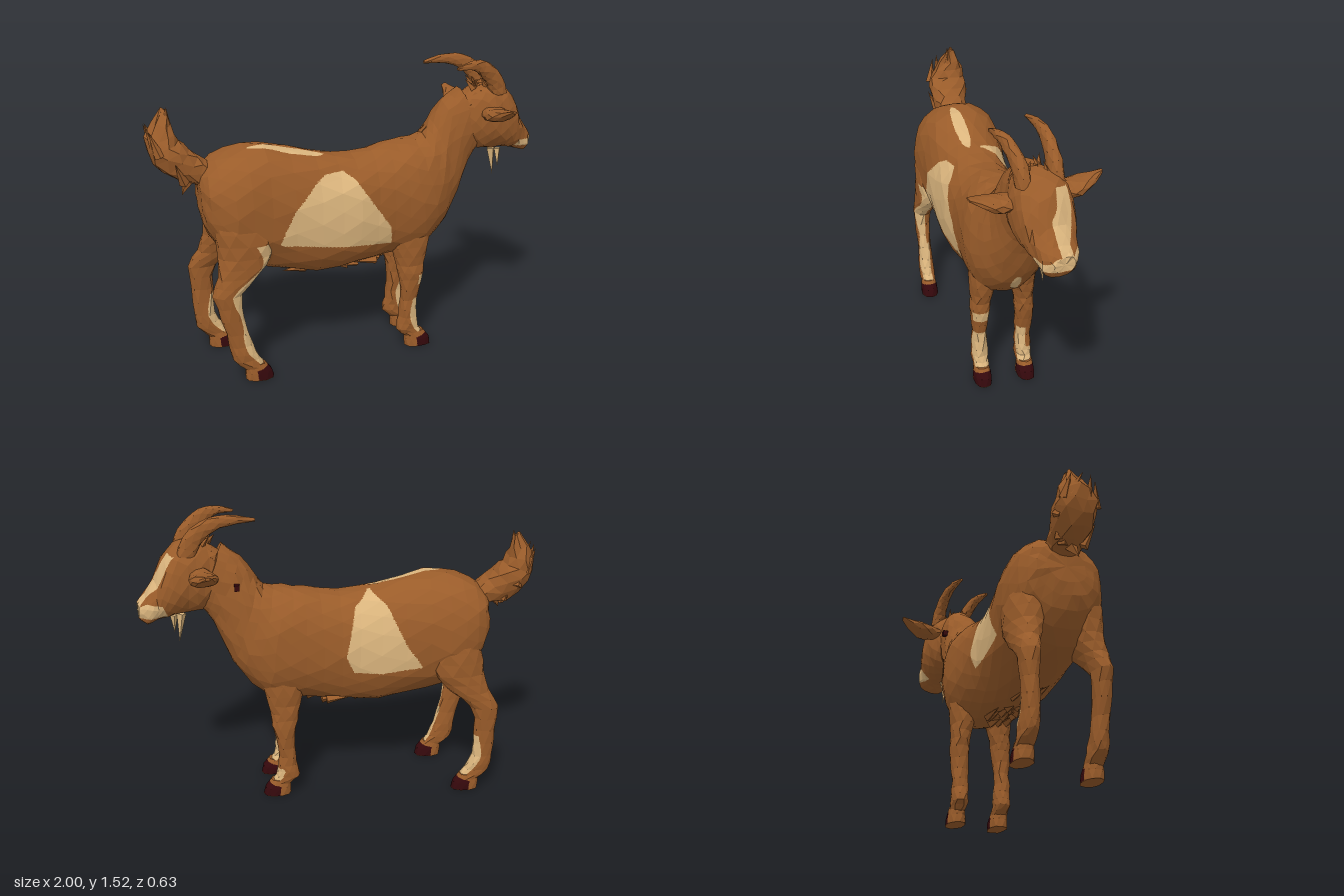
import * as THREE from 'three';
import { mergeGeometries } from 'three/addons/utils/BufferGeometryUtils.js';

const mat = (name, color) => Object.assign(new THREE.MeshStandardMaterial({ color }), { name });

// small seeded random for hair and facet irregularity
let seed = 7;
const rnd = () => ((seed = (seed * 16807) % 2147483647) / 2147483647) * 2 - 1;

// Loft through rings [x, y, z, halfUp, halfSide, tilt in degrees].
// test(p, q) picks the second colour; q holds (progress, cos, sin) around the loft.
function loft(name, rings, mats, { sides = 12, steps = 2, jitter = 0.004, test = null } = {}) {
  const centre = new THREE.CatmullRomCurve3(rings.map(r => new THREE.Vector3(r[0], r[1], r[2])), false, 'catmullrom', 0.5);
  const size = new THREE.CatmullRomCurve3(rings.map(r => new THREE.Vector3(r[3], r[4], r[5])), false, 'catmullrom', 0.5);
  const n = (rings.length - 1) * steps;
  const soft = v => Math.sign(v) * Math.abs(v) ** 0.88;
  const grid = [], mids = [];
  for (let i = 0; i <= n; i++) {
    const t = i / n, c = centre.getPoint(t), s = size.getPoint(t), k = s.z * Math.PI / 180;
    const row = [];
    for (let j = 0; j < sides; j++) {
      const a = (j + (i % 2) * 0.5) / sides * Math.PI * 2;
      const up = Math.max(s.x, 0.002) * soft(Math.cos(a)), side = Math.max(s.y, 0.002) * soft(Math.sin(a));
      row.push({
        p: new THREE.Vector3(c.x - Math.sin(k) * up + rnd() * jitter, c.y + Math.cos(k) * up + rnd() * jitter, c.z + side + rnd() * jitter),
        q: new THREE.Vector3(t, Math.cos(a), Math.sin(a))
      });
    }
    grid.push(row);
    mids.push({ p: c, q: new THREE.Vector3(t, 0, 0) });
  }
  const out = [[], []];
  const mid = (a, b) => ({ p: a.p.clone().lerp(b.p, 0.5), q: a.q.clone().lerp(b.q, 0.5) });
  const pick = v => (test && test(v.p, v.q) ? 1 : 0);
  // coplanar subdivision along colour borders
  function tri(a, b, c, depth = 0) {
    if (!test) return out[0].push(a, b, c);
    const ab = mid(a, b), bc = mid(b, c), ca = mid(c, a);
    const sum = [a, b, c, ab, bc, ca].reduce((s, v) => s + pick(v), 0);
    if (depth > 3 || (depth > 0 && sum % 6 === 0)) return out[pick(mid(ab, c))].push(a, b, c);
    tri(a, ab, ca, depth + 1); tri(ab, b, bc, depth + 1);
    tri(ca, bc, c, depth + 1); tri(ab, bc, ca, depth + 1);
  }
  for (let j = 0; j < sides; j++) {
    const k = (j + 1) % sides;
    for (let i = 0; i < n; i++) {
      const [A, B, C, D] = [grid[i][j], grid[i][k], grid[i + 1][j], grid[i + 1][k]];
      if (i % 2) { tri(A, B, D); tri(A, D, C); } else { tri(A, B, C); tri(B, D, C); }
    }
    tri(mids[0], grid[0][k], grid[0][j]);
    tri(mids[n], grid[n][j], grid[n][k]);
  }
  const geo = new THREE.BufferGeometry().setFromPoints([...out[0], ...out[1]].map(v => v.p));
  geo.computeVertexNormals();
  geo.addGroup(0, out[0].length, 0);
  geo.addGroup(out[0].length, out[1].length, 1);
  const mesh = new THREE.Mesh(geo, test ? mats : mats[0]);
  mesh.name = name;
  return mesh;
}

// Pointed lock of hair from a point along a direction
function lock(at, dir, length, width) {
  const g = new THREE.ConeGeometry(width, length, 4).toNonIndexed();
  g.translate(0, length * 0.4, 0);
  g.applyQuaternion(new THREE.Quaternion().setFromUnitVectors(new THREE.Vector3(0, 1, 0), new THREE.Vector3(...dir).normalize()));
  g.translate(...at);
  g.computeVertexNormals();
  return g;
}
function hair(name, locks, material) {
  const mesh = new THREE.Mesh(mergeGeometries(locks), material);
  mesh.name = name;
  return mesh;
}

function inside(x, y, poly) {
  let hit = false;
  poly.forEach(([ax, ay], i) => {
    const [bx, by] = poly[(i + 1) % poly.length];
    if ((ay > y) !== (by > y) && x < ax + (bx - ax) * (y - ay) / (by - ay)) hit = !hit;
  });
  return hit;
}

export function createModel() {
  const brown = mat('brownCoat', 0x9a5c2a), tan = mat('tanPatch', 0xdcb67e), dark = mat('darkHoof', 0x35080c);
  const goat = new THREE.Group();
  goat.name = 'goat';

  // Torso and neck with flank, back and chest patches
  const leftPatch = [[-0.22, 1.0], [-0.17, 1.03], [-0.08, 1.035], [-0.02, 0.99], [0.06, 0.87], [0.16, 0.73], [0.17, 0.63], [-0.1, 0.66], [-0.42, 0.71], [-0.34, 0.88]];
  const rightPatch = [[-0.41, 0.72], [-0.2, 0.69], [-0.06, 0.7], [-0.02, 0.79], [-0.07, 1.03], [-0.15, 1.1], [-0.23, 1.04], [-0.32, 0.85]];
  goat.add(loft('torsoAndNeck', [
    [-0.765, 0.94, 0.05, 0.08, 0.1, 0], [-0.73, 0.91, 0.05, 0.18, 0.185, 0], [-0.62, 0.875, 0.055, 0.275, 0.235, 0],
    [-0.45, 0.855, 0.055, 0.315, 0.225, 0], [-0.2, 0.795, 0.064, 0.31, 0.205, 0], [0, 0.79, 0.062, 0.29, 0.197, 0],
    [0.18, 0.815, 0.045, 0.295, 0.19, 0], [0.33, 0.84, 0.04, 0.285, 0.202, 10], [0.44, 0.91, 0.035, 0.24, 0.165, 15],
    [0.5, 1.01, 0.025, 0.21, 0.13, 20], [0.56, 1.13, 0.02, 0.18, 0.11, 24], [0.64, 1.21, 0.015, 0.165, 0.1, 22]
  ], [brown, tan], {
    sides: 20, steps: 2, jitter: 0.005,
    test: p => (p.z > 0.1 && inside(p.x, p.y, leftPatch)) || (p.z < 0.03 && inside(p.x, p.y, rightPatch)) ||
      (p.y > 1 && ((p.x + 0.34) / 0.19) ** 2 + ((p.z - 0.09) / 0.032) ** 2 < 1) ||
      (p.x > 0.38 && ((p.z - 0.025) / 0.025) ** 2 + ((p.y - 0.67) / 0.055) ** 2 < 1)
  }));

  // Legs: z is mirrored about the body's middle, dx sets a foot back
  const hind = [[-0.6, 0.92, 0.17, 0.11, 0.09], [-0.58, 0.8, 0.2, 0.14, 0.09], [-0.58, 0.67, 0.215, 0.135, 0.08], [-0.62, 0.57, 0.235, 0.1, 0.062],
    [-0.68, 0.48, 0.25, 0.072, 0.047], [-0.66, 0.35, 0.25, 0.055, 0.04], [-0.625, 0.2, 0.25, 0.057, 0.04], [-0.6, 0.12, 0.25, 0.068, 0.043], [-0.555, 0.065, 0.25, 0.058, 0.038]];
  const fore = [[0.3, 0.85, 0.12, 0.1, 0.07], [0.3, 0.7, 0.13, 0.11, 0.075], [0.295, 0.58, 0.14, 0.095, 0.065], [0.29, 0.48, 0.15, 0.074, 0.052],
    [0.297, 0.4, 0.155, 0.064, 0.05], [0.288, 0.28, 0.155, 0.045, 0.04], [0.285, 0.18, 0.155, 0.05, 0.042], [0.285, 0.11, 0.155, 0.062, 0.042], [0.325, 0.065, 0.155, 0.058, 0.038]];
  const shin = (p, q, top, edge) => p.y > 0.085 && p.y < top && q.y > edge + 0.2 * Math.sin(p.y * 23);
  function leg(name, rings, middle, mirror, dx, test) {
    const place = ([x, y, z, h, w]) => [x + dx * Math.min(1, Math.max(0, (0.8 - y) / 0.6)), y, mirror ? 2 * middle - z : z, h, w, -90];
    const group = new THREE.Group();
    group.name = name;
    group.add(loft('limb', rings.map(place), [brown, tan], { sides: 10, test }));
    const [x, , z] = rings[rings.length - 1];
    const hoof = [[x - 0.005, 0.09, z, 0.052, 0.037], [x + 0.012, 0.045, z, 0.068, 0.046], [x + 0.018, 0.004, z, 0.073, 0.047]];
    group.add(loft('hoof', hoof.map(place), [brown, dark], { sides: 10, steps: 1, jitter: 0.0015, test: (p, q) => q.y > -0.15 && p.y < 0.06 + 0.015 * q.y && p.y > 0.0056 }));
    goat.add(group);
  }
  leg('leftHindLeg', hind, 0.055, false, 0, (p, q) => shin(p, q, 0.73, 0.45) && q.z > -0.15 - (p.y < 0.3 ? 0.3 : 0));
  leg('rightHindLeg', hind, 0.055, true, -0.12, (p, q) => shin(p, q, 0.32, 0.4));
  leg('leftForeleg', fore, 0.04, false, 0, (p, q) => shin(p, q, 0.29, 0.25) || (q.y > 0.4 && p.y > 0.37 && p.y < 0.425));
  leg('rightForeleg', fore, 0.04, true, 0, (p, q) => shin(p, q, 0.28, 0.25) && q.z > -0.1 - (p.y < 0.16 ? 0.8 : 0));

  // Upturned bushy tail
  goat.add(loft('tail', [
    [-0.7, 1.03, 0.04, 0.06, 0.07, 170], [-0.81, 1.075, 0.04, 0.078, 0.09, 140], [-0.895, 1.155, 0.03, 0.088, 0.1, 120],
    [-0.925, 1.235, 0.02, 0.068, 0.08, 95], [-0.895, 1.36, 0.01, 0.012, 0.015, 75]
  ], [brown], { sides: 9, jitter: 0.01 }));
  const tailHair = [];
  for (let i = 0; i < 22; i++) {
    const t = i / 21;
    tailHair.push(lock([-0.83 - 0.13 * t, 1.02 + 0.18 * t, 0.03 + rnd() * 0.09], [-0.3, 0.8, rnd() * 0.4], 0.13, 0.026));
  }
  tailHair.push(lock([-0.81, 1.02, 0.05], [-0.3, -0.6, 0.2], 0.09, 0.035), lock([-0.9, 1.24, 0.03], [0.1, 1, 0], 0.15, 0.04));
  goat.add(hair('tailHair', tailHair, brown));

  // Mane lying along the neck and flat belly fringe
  const mane = [], fringe = [];
  for (let i = 0; i < 34; i++) {
    const t = i / 33, z = rnd() * 0.065;
    mane.push(lock([0.46 + 0.24 * t, 1.2 + 0.17 * t - z * z * 6, 0.02 + z], [-1, -0.78 + rnd() * 0.15, rnd() * 0.2], 0.16, 0.024));
  }
  for (let i = 0; i < 18; i++) fringe.push(lock([-0.27 + 0.025 * i, 0.51 - 0.012 * Math.sin(i / 17 * Math.PI), 0.055 + rnd() * 0.07], [-1, 0.06, rnd() * 0.25], 0.13, 0.022));
  goat.add(hair('mane', mane, brown), hair('bellyFringe', fringe, brown));

  // Head, turned a little to the right, with an off-centre blaze
  const head = new THREE.Group();
  head.name = 'head';
  head.position.set(0.7, 0, 0.018);
  head.rotation.y = 0.18;
  const blaze = [[-0.09, 1.33], [-0.03, 1.34], [-0.012, 1.26], [0.018, 1.22], [0.015, 1.06], [-0.045, 1.06], [-0.04, 1.13], [-0.075, 1.18], [-0.09, 1.25]];
  head.add(loft('skull', [
    [-0.12, 1.2, 0, 0.12, 0.08, 0], [-0.05, 1.205, 0, 0.16, 0.108, 0], [0.02, 1.21, 0, 0.18, 0.13, 0], [0.1, 1.2, 0, 0.175, 0.134, 0],
    [0.16, 1.165, 0, 0.15, 0.122, 0], [0.21, 1.105, 0, 0.1, 0.1, 0], [0.26, 1.06, 0, 0.075, 0.088, 0], [0.297, 1.06, 0, 0.035, 0.05, 0]
  ], [brown, tan], {
    sides: 14, test: p => (p.x > 0.08 && inside(p.z, p.y, blaze)) ||
      (p.y > 1.03 && p.y < 1.085 + 0.012 * Math.sin(p.z * 60) - 0.1 * p.z && p.x > (p.z > 0 ? 0.19 : 0.17) + 0.4 * (p.y - 1.05))
  }));
  for (const s of [1, -1]) {
    const side = s > 0 ? 'left' : 'right', reach = s > 0 ? 0.05 : 0;
    head.add(loft(side + 'Horn', [
      [0.06, 1.33, 0.078 * s, 0.047, 0.034, 95], [0.03, 1.4, 0.08 * s, 0.046, 0.032, 120], [-0.03, 1.458, 0.088 * s, 0.041, 0.028, 145],
      [-0.1 + reach * 0.4, 1.487, 0.096 * s, 0.032, 0.024, 168], [-0.19 + reach, 1.495, 0.103 * s, 0.02, 0.018, 180], [-0.275 + reach * 1.3, 1.487, 0.105 * s, 0.007, 0.008, 186]
    ], [brown], { sides: 8, jitter: 0.002 }));
    const ear = loft(side + 'Ear', [
      [-0.03, 0, 0, 0.025, 0.04, 0], [0.05, -0.01, 0, 0.036, 0.066, 0], [0.12, 0.002, 0, 0.03, 0.062, 0], [0.215, 0.04, 0, 0.007, 0.014, 0]
    ], [brown], { sides: 8, jitter: 0.003 });
    ear.position.set(0, 1.25, 0.105 * s - 0.018);
    ear.rotation.y = -s * Math.PI / 2;
    head.add(ear);
  }
  // Forelock and beard
  const forelock = [];
  for (let i = 0; i < 10; i++) forelock.push(lock([0.06 - i * 0.014, 1.36, rnd() * 0.045], [-0.4, 0.6, rnd() * 0.6], 0.07, 0.02));
  head.add(hair('forelock', forelock, brown));
  head.add(hair('beard', [
    lock([0.09, 1.0, 0], [0.12, -1, 0], 0.15, 0.024), lock([0.125, 1.0, 0.008], [0, -1, 0.1], 0.1, 0.02)
  ], tan));
  goat.add(head);

  // Small dark stud on the right of the neck
  const stud = new THREE.Mesh(new THREE.BoxGeometry(0.025, 0.03, 0.04), dark);
  stud.name = 'neckStud';
  stud.position.set(0.51, 1.17, -0.09);
  goat.add(stud);
  return goat;
}
